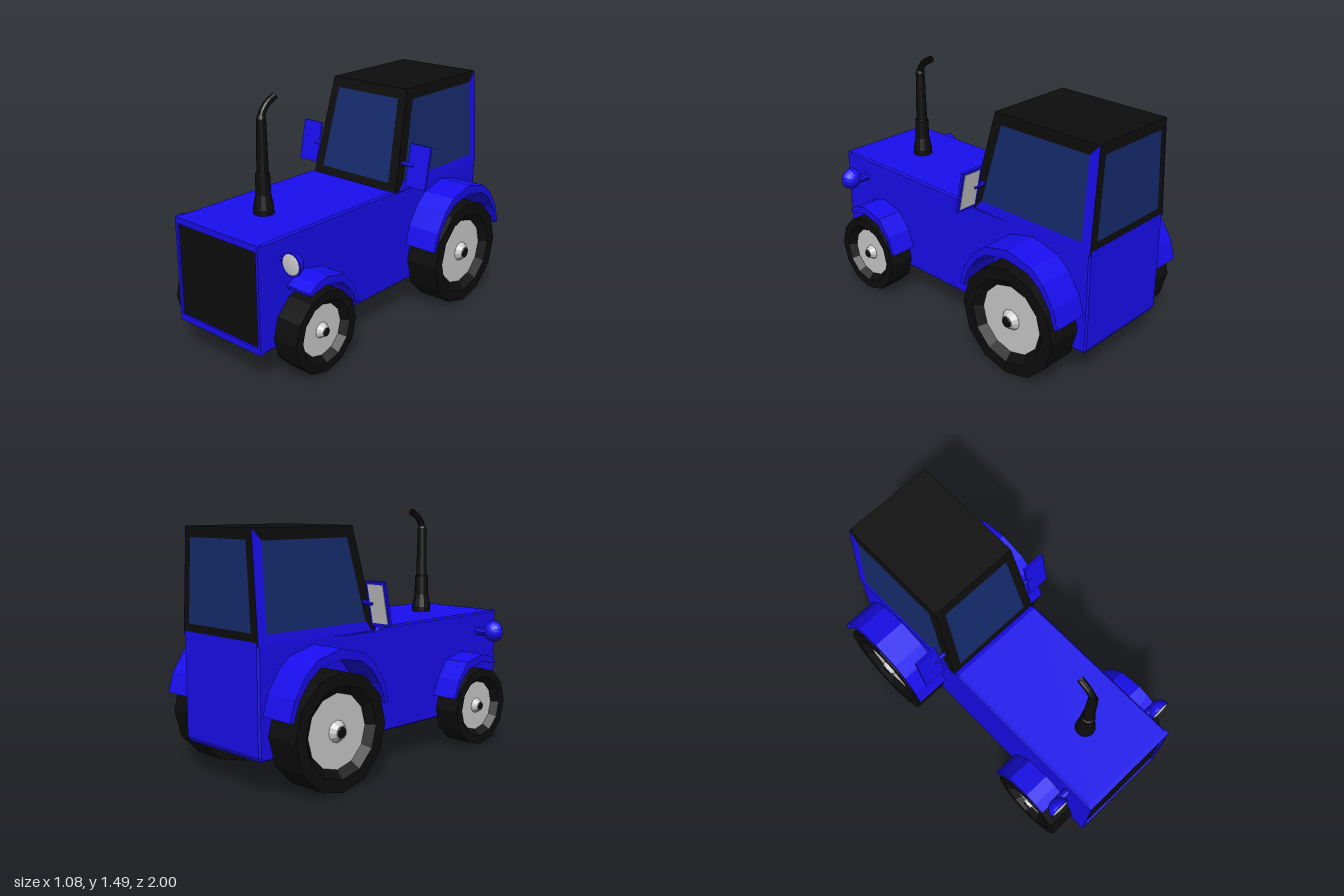
import * as THREE from 'three';

const mat = (color) => new THREE.MeshStandardMaterial({ color, flatShading: true, side: THREE.DoubleSide });
const BLUE = mat(0x190ef0), BLACK = mat(0x0d0d0d), GLASS = mat(0x162b6e), GREY = mat(0xcccccc);
const V = (x, y, z) => new THREE.Vector3(x, y, z);

export function createModel() {
  const model = new THREE.Group();
  const add = (name, geometry, material, parent = model) => {
    const mesh = new THREE.Mesh(geometry, material);
    mesh.name = name;
    parent.add(mesh);
    return mesh;
  };
  const shapeOf = (points) => new THREE.Shape(points.map(([a, b]) => new THREE.Vector2(a, b)));

  // Extrude a side profile of [z, y] points between two x positions
  const sideExtrude = (points, x0, x1, bevel = 0) => {
    const geo = new THREE.ExtrudeGeometry(shapeOf(points), {
      depth: x1 - x0 - 2 * bevel, bevelEnabled: bevel > 0, bevelSegments: 1,
      bevelSize: bevel, bevelThickness: bevel, bevelOffset: -bevel,
    });
    return geo.rotateY(-Math.PI / 2).translate(x1 - bevel, 0, 0);
  };
  // Turned part with [radius, distance] points, its axis pointing along +x or -x
  const turned = (points, sides, s) =>
    new THREE.LatheGeometry(points.map(([r, h]) => new THREE.Vector2(r, h)), sides).rotateZ(-s * Math.PI / 2);
  // Flat convex panel from corner points
  const panel = (corners) => {
    const index = [];
    for (let i = 1; i < corners.length - 1; i++) index.push(0, i, i + 1);
    const geo = new THREE.BufferGeometry().setFromPoints(corners);
    geo.setIndex(index);
    geo.computeVertexNormals();
    return geo;
  };

  // Body with bonnet
  add('body', sideExtrude([[0.985, 0.2], [0.985, 0.83], [-0.11, 0.825], [-0.14, 0.812], [-1, 0.83],
    [-1, 0.23], [-0.985, 0.2]], -0.325, 0.325, 0.01), BLUE);

  // Front frame around the grille
  const rect = (w, y0, y1) => [[-w, y0], [w, y0], [w, y1], [-w, y1]];
  const frame = shapeOf(rect(0.325, 0.2, 0.83));
  frame.holes.push(shapeOf(rect(0.307, 0.238, 0.793)));
  add('grilleFrame', new THREE.ExtrudeGeometry(frame, { depth: 0.03, bevelEnabled: false }).translate(0, 0, 0.97), BLUE);
  add('grille', new THREE.BoxGeometry(0.62, 0.56, 0.02).translate(0, 0.515, 0.978), BLACK);

  // Cab shell: a box tapered to the roof
  const Y0 = 0.81, Y1 = 1.41;
  const halfWidth = (y) => 0.325 - (y - Y0) * 0.042 / (Y1 - Y0);
  const frontZ = (y) => -0.14 - (y - Y0) * 0.145 / (Y1 - Y0);
  const cab = new THREE.BoxGeometry(2, 1, 1);
  const p = cab.attributes.position;
  for (let i = 0; i < p.count; i++) {
    const y = p.getY(i) > 0 ? Y1 : Y0;
    p.setXYZ(i, Math.sign(p.getX(i)) * halfWidth(y), y, p.getZ(i) > 0 ? frontZ(y) : -0.999);
  }
  add('cab', cab, BLACK);

  // Windscreen and rear window
  const E = 0.003;
  const across = (w0, y0, w1, y1, zAt) => panel([V(-w0, y0, zAt(y0)), V(w0, y0, zAt(y0)), V(w1, y1, zAt(y1)), V(-w1, y1, zAt(y1))]);
  add('windscreen', across(0.262, 0.86, 0.23, 1.35, (y) => frontZ(y) + E), GLASS);
  add('rearWindow', across(0.272, 0.875, 0.24, 1.35, () => -0.999 - E), GLASS);

  // Exhaust stack with bent outlet
  const stack = [[0, 0.82], [0.06, 0.82], [0.06, 0.86], [0.045, 0.94], [0.042, 1.06], [0.035, 1.065], [0.028, 1.37], [0.02, 1.39]];
  add('exhaustStack', new THREE.LatheGeometry(stack.map(([r, y]) => new THREE.Vector2(r, y)), 12).translate(0, 0, 0.635), BLACK);
  const bend = new THREE.CatmullRomCurve3([V(0, 1.34, 0.635), V(0, 1.39, 0.63), V(0, 1.44, 0.593), V(0, 1.475, 0.53)]);
  add('exhaustOutlet', new THREE.TubeGeometry(bend, 8, 0.021, 10), BLACK);

  // Tyre, dished rim and hub
  const wheel = (name, s, x0, x1, y, z, R, rim, hub) => {
    const g = new THREE.Group();
    g.name = name;
    const lip = R * 0.78, dish = x1 - 0.04;
    add('tyre', turned([[0, x0], [R, x0], [R, x1], [lip, x1], [rim, dish]], 12, s), BLACK, g);
    add('rim', turned([[rim, dish], [0, dish]], 12, s), GREY, g);
    add('hub', turned([[hub, dish], [hub * 0.6, x1 - 0.005], [hub * 0.5, x1 - 0.005]], 12, s), GREY, g);
    add('hubCap', turned([[hub * 0.52, x1 - 0.006], [hub * 0.45, x1], [0, x1]], 12, s), BLACK, g);
    g.position.set(0, y, z);
    model.add(g);
  };

  // Mudguard profiles, outer edge then inner edge back
  const outer = [[0.36, 0.445], [0.325, 0.56], [0.25, 0.675], [0.17, 0.742], [0, 0.784]];
  const inner = [[0.335, 0.44], [0.295, 0.55], [0.225, 0.645], [0.15, 0.7], [0, 0.727]];
  const arch = (pts) => [...pts, ...pts.slice(0, -1).reverse().map(([a, b]) => [-a, b])];
  const rearGuard = [...arch(outer), ...arch(inner).reverse()].map(([a, b]) => [a - 0.615, b]);
  const frontGuard = [[0.79, 0.54], [0.73, 0.575], [0.655, 0.595], [0.51, 0.56], [0.43, 0.46], [0.385, 0.35],
    [0.405, 0.345], [0.45, 0.44], [0.53, 0.52], [0.655, 0.548], [0.725, 0.535], [0.785, 0.52]];

  // Parts mirrored on both sides
  for (const s of [1, -1]) {
    const side = s > 0 ? 'left' : 'right';
    const onSide = (z, y, e = E) => V(s * (halfWidth(y) + e), y, z);

    wheel(side + 'RearWheel', s, 0.316, 0.536, 0.333, -0.61, 0.33, 0.21, 0.062);
    wheel(side + 'FrontWheel', s, 0.32, 0.487, 0.262, 0.655, 0.243, 0.155, 0.047);

    const span = (x0, x1) => (s > 0 ? [x0, x1] : [-x1, -x0]);
    add(side + 'RearMudguard', sideExtrude(rearGuard, ...span(0.315, 0.538)), BLUE);
    add(side + 'FrontMudguard', sideExtrude(frontGuard, ...span(0.315, 0.49)), BLUE);

    // Cab side: belt, rear pillar and window
    add(side + 'CabBelt', panel([onSide(-0.17, 0.81), onSide(-0.215, 0.868), onSide(-1, 0.868), onSide(-1, 0.81)]), BLUE);
    add(side + 'RearPillar', panel([onSide(-1, 0.865), onSide(-0.94, 0.865), onSide(-0.94, 1.345), onSide(-1, 1.41)]), BLUE);
    add(side + 'SideWindow', panel([onSide(-0.22, 0.868), onSide(-0.335, 1.345), onSide(-0.94, 1.345), onSide(-0.94, 0.868)]), GLASS);

    // Headlight: domed shell, lens and bracket
    const lamp = new THREE.Group();
    lamp.name = side + 'Headlight';
    lamp.position.set(s * 0.425, 0.713, 0.862);
    add('lampShell', new THREE.SphereGeometry(0.069, 14, 6, 0, Math.PI * 2, 0, Math.PI / 2).rotateX(-Math.PI / 2), BLUE, lamp);
    add('lampRing', new THREE.RingGeometry(0.058, 0.069, 14), BLUE, lamp);
    add('lampLens', new THREE.SphereGeometry(0.06, 14, 4, 0, Math.PI * 2, 0, Math.PI / 2)
      .rotateX(Math.PI / 2).scale(1, 1, 0.12), GREY, lamp);
    add('lampBracket', new THREE.CylinderGeometry(0.025, 0.025, 0.09, 8).rotateZ(Math.PI / 2)
      .translate(-s * 0.07, -0.005, -0.045), BLUE, lamp);
    model.add(lamp);

    // Door mirror on its arm
    const mirror = new THREE.Group();
    mirror.name = side + 'Mirror';
    mirror.position.set(s * 0.428, 0.977, -0.222);
    mirror.rotation.x = -0.2;
    add('mirrorHousing', new THREE.BoxGeometry(0.145, 0.258, 0.016), BLUE, mirror);
    add('mirrorGlass', new THREE.BoxGeometry(0.115, 0.225, 0.004).translate(0, 0, -0.0085), GREY, mirror);
    add('mirrorArm', new THREE.CylinderGeometry(0.015, 0.015, 0.13, 8).rotateZ(Math.PI / 2).translate(-s * 0.1, 0, 0), BLUE, mirror);
    model.add(mirror);
  }
  return model;
}
